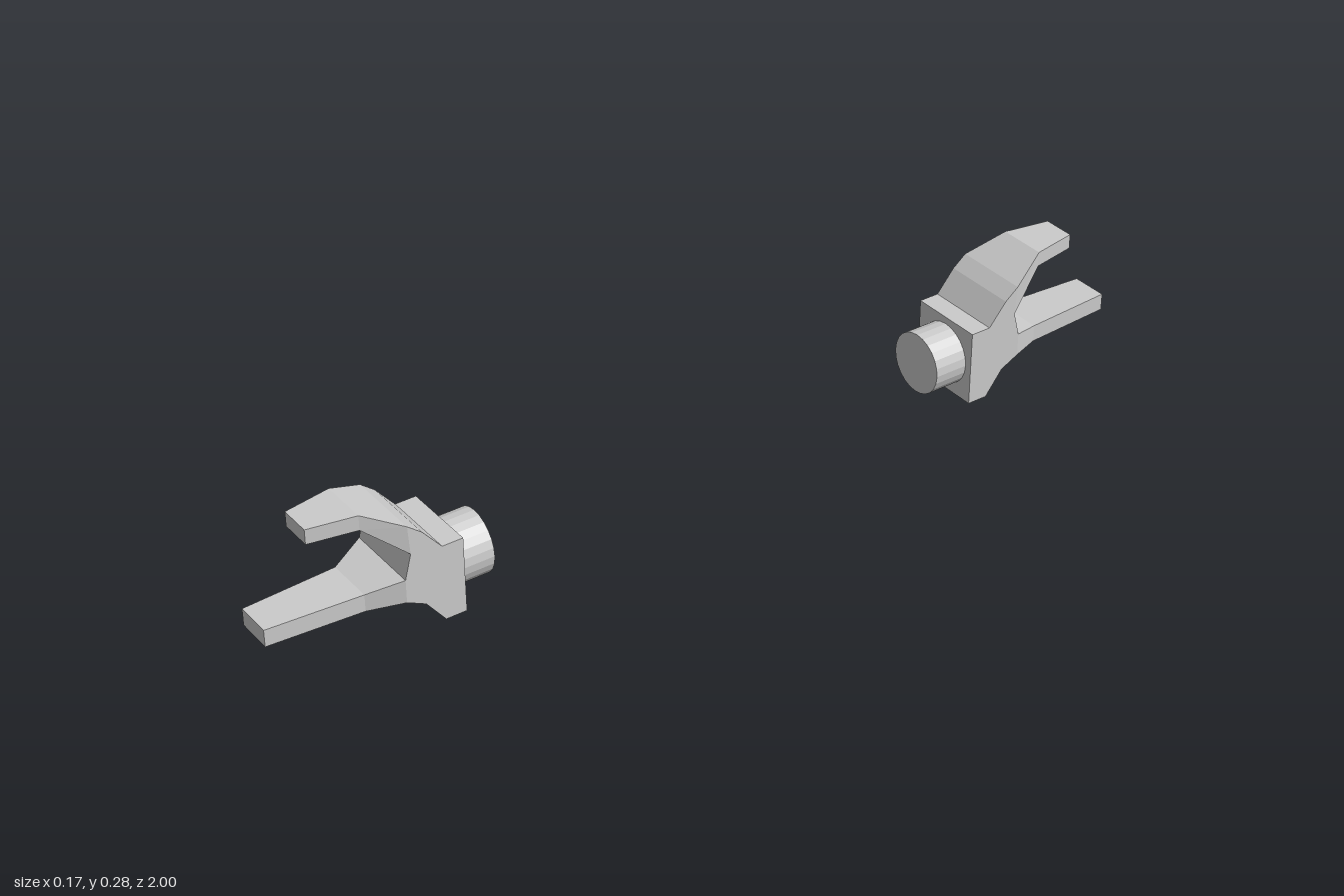
import * as THREE from 'three';

const material = new THREE.MeshStandardMaterial({ color: 0xcccccc, flatShading: true });
const HALF = 0.083; // half width of the bracket body

function addMesh(parent, name, geometry) {
  const mesh = new THREE.Mesh(geometry, material);
  mesh.name = name;
  parent.add(mesh);
  return mesh;
}

// Box bent through sections of [zTop, yTop, zBottom, yBottom, halfWidth], z rising
function taperedArm(sections) {
  const n = sections.length - 1;
  const geometry = new THREE.BoxGeometry(2, 2, n, 1, 1, n);
  const p = geometry.attributes.position;
  for (let i = 0; i < p.count; i++) {
    const [zt, yt, zb, yb, half] = sections[Math.round(p.getZ(i) + n / 2)];
    const top = p.getY(i) > 0;
    p.setXYZ(i, Math.sign(p.getX(i)) * half, top ? yt : yb, top ? zt : zb);
  }
  geometry.computeVertexNormals();
  return geometry;
}

function createBracket(name) {
  const bracket = new THREE.Group();
  bracket.name = name;

  // Full-width body, side profile as (z, y)
  const profile = new THREE.Shape([
    [0.605, 0], [0.65, 0], [0.69, 0.052], [0.73, 0.072], [0.73, 0.122],
    [0.716, 0.175], [0.72, 0.237], [0.69, 0.213], [0.65, 0.165], [0.605, 0.165],
  ].map(([z, y]) => new THREE.Vector2(z, y)));
  const body = new THREE.ExtrudeGeometry(profile, { depth: HALF * 2, bevelEnabled: false });
  body.rotateY(-Math.PI / 2).translate(HALF, 0, 0);
  addMesh(bracket, 'body', body);

  // Forked arms narrowing towards their tips
  addMesh(bracket, 'upperArm', taperedArm([
    [0.72, 0.237, 0.716, 0.175, HALF],
    [0.8, 0.277, 0.8, 0.245, 0.053],
    [0.9, 0.277, 0.9, 0.245, 0.035],
  ]));
  addMesh(bracket, 'lowerArm', taperedArm([
    [0.73, 0.122, 0.73, 0.072, HALF],
    [0.8, 0.102, 0.8, 0.065, 0.053],
    [1, 0.102, 1, 0.065, 0.04],
  ]));

  // Round stub on the inner end
  const stub = new THREE.CylinderGeometry(0.067, 0.067, 0.075, 24);
  stub.rotateX(Math.PI / 2);
  addMesh(bracket, 'stub', stub).position.set(0, 0.083, 0.5675);

  // Small pads under the arms
  for (const [y, z] of [[0.242, 0.847], [0.062, 0.787], [0.062, 0.952]]) {
    addMesh(bracket, 'pad', new THREE.BoxGeometry(0.035, 0.012, 0.013)).position.set(0, y, z);
  }
  return bracket;
}

export function createModel() {
  const model = new THREE.Group();
  model.name = 'forkedBracketPair';
  const back = createBracket('backBracket');
  back.rotation.y = Math.PI;
  model.add(createBracket('frontBracket'), back);
  return model;
}
